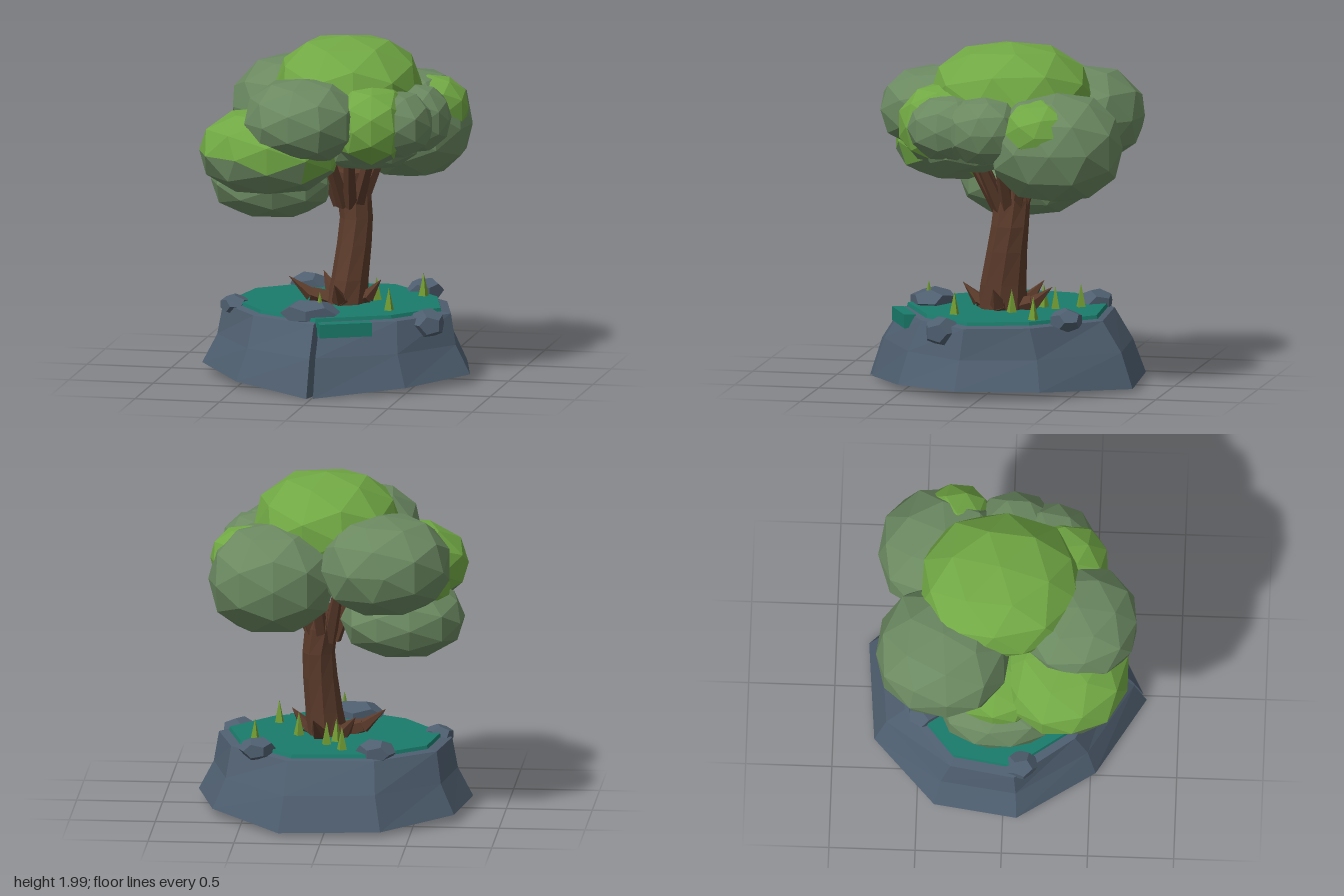
import * as THREE from 'three';

const paint = (name, color) => {
  const m = new THREE.MeshStandardMaterial({ color, flatShading: true });
  m.name = name;
  return m;
};

// Flat-shaded skin over rings of [x, y, z] points, closed at both ends
function loft(rings) {
  const pos = [];
  const tri = (a, b, c) => pos.push(...a, ...b, ...c);
  const n = rings[0].length;
  const centre = (ring) => [0, 1, 2].map((k) => ring.reduce((s, p) => s + p[k], 0) / n);
  for (let r = 0; r < rings.length - 1; r++) {
    for (let i = 0; i < n; i++) {
      const j = (i + 1) % n;
      tri(rings[r][i], rings[r][j], rings[r + 1][j]);
      tri(rings[r][i], rings[r + 1][j], rings[r + 1][i]);
    }
  }
  const low = rings[0], high = rings[rings.length - 1];
  const lowC = centre(low), highC = centre(high);
  for (let i = 0; i < n; i++) {
    const j = (i + 1) % n;
    tri(lowC, low[j], low[i]);
    tri(highC, high[i], high[j]);
  }
  const g = new THREE.BufferGeometry();
  g.setAttribute('position', new THREE.Float32BufferAttribute(pos, 3));
  g.computeVertexNormals();
  return g;
}

// Unit faceted ball, slightly squared off so that it looks plump
function plumpBall(turn) {
  const g = new THREE.IcosahedronGeometry(1, 1).rotateY(turn);
  const p = g.attributes.position, power = 2.35;
  for (let i = 0; i < p.count; i++) {
    const v = [p.getX(i), p.getY(i), p.getZ(i)];
    const len = v.reduce((s, c) => s + Math.abs(c) ** power, 0) ** (1 / power);
    p.setXYZ(i, v[0] / len, v[1] / len, v[2] / len);
  }
  return g;
}

export function createModel() {
  const stone = paint('slate stone', 0x4f5f70);
  const turf = paint('teal turf', 0x1a7b6b);
  const bark = paint('brown bark', 0x5b3b2b);
  const leaf = paint('bright leaf', 0x71a844);
  const sage = paint('sage leaf', 0x6b8961);
  const blade = paint('grass blade', 0x729c34);

  const model = new THREE.Group();
  model.name = 'treeOnRock';
  const add = (name, geometry, material, parent = model) => {
    const mesh = new THREE.Mesh(geometry, material);
    mesh.name = name;
    parent.add(mesh);
    return mesh;
  };
  const group = (name) => {
    const g = new THREE.Group();
    g.name = name;
    model.add(g);
    return g;
  };

  // Tapered limb between two points
  const limb = (name, from, to, r0, r1, parent) => {
    const a = new THREE.Vector3(...from), b = new THREE.Vector3(...to);
    const d = b.clone().sub(a);
    const m = add(name, new THREE.CylinderGeometry(r1, r0, d.length(), 5), bark, parent);
    m.position.copy(a).addScaledVector(d, 0.5);
    m.quaternion.setFromUnitVectors(new THREE.Vector3(0, 1, 0), d.normalize());
  };

  // Rock base, outline starts at the crack in the front
  const outline = [[0.01, 0.79], [0.5, 0.53], [0.8, 0.13], [0.68, -0.35], [0.26, -0.81], [-0.33, -0.76],
    [-0.73, -0.4], [-0.8, 0.08], [-0.5, 0.53], [-0.025, 0.81], [-0.005, 0.7]];
  const ring = (sx, sz, y, points = outline, lift = 0) =>
    points.map(([x, z]) => [x * sx, y + lift * Math.abs(x), z * sz]);
  add('rockBase', loft([
    ring(1, 1, 0.005, outline, 0.07),
    ring(0.89, 0.91, 0.23),
    ring(0.85, 0.77, 0.41),
    ring(0.78, 0.72, 0.42),
  ]), stone);

  // Turf on top, with a flap hanging over the front edge
  const lawn = outline.slice(0, -1);
  add('turf', loft([ring(0.79, 0.74, 0.39, lawn), ring(0.77, 0.72, 0.44, lawn)]), turf);
  const flap = add('turfFlap', new THREE.BoxGeometry(0.31, 0.08, 0.07), turf);
  flap.position.set(0.15, 0.38, 0.57);
  flap.rotation.y = 0.44;

  // Loose rocks: position, then radii
  const rocks = group('looseRocks');
  [
    [-0.08, 0.45, 0.45, 0.18, 0.075, 0.14], [0.57, 0.375, 0.25, 0.1, 0.09, 0.12],
    [-0.6, 0.415, 0.1, 0.1, 0.06, 0.09], [-0.28, 0.44, -0.47, 0.12, 0.075, 0.11],
    [0.41, 0.44, -0.45, 0.11, 0.07, 0.1],
  ].forEach(([x, y, z, a, b, c], i) => {
    const rock = add('rock', new THREE.DodecahedronGeometry(1, 0), stone, rocks);
    rock.position.set(x, y, z);
    rock.scale.set(a, b, c);
    rock.rotation.y = i * 0.9;
  });

  // Leaning trunk: x, y, z, half width in x, half width in z
  const trunk = [
    [0.04, 0.41, 0.01, 0.125, 0.15], [0.06, 0.58, 0, 0.108, 0.135], [0.08, 0.78, -0.025, 0.1, 0.118],
    [0.088, 0.93, -0.045, 0.095, 0.11], [0.07, 1.08, -0.055, 0.1, 0.105], [0.06, 1.2, -0.05, 0.09, 0.09],
  ];
  add('trunk', loft(trunk.map(([x, y, z, a, b], k) => Array.from({ length: 8 }, (_, i) => {
    const t = (i / 8) * Math.PI * 2 + k * 0.08;
    return [x + Math.sin(t) * a, y, z + Math.cos(t) * b];
  }))), bark);

  // Branches fanning into the crown
  const branches = group('branches');
  for (let i = 0; i < 9; i++) {
    const t = (i / 9) * Math.PI * 2 + 0.2;
    const s = Math.sin(t), c = Math.cos(t);
    limb('branch', [0.055 + s * 0.06, 1.01, -0.04 + c * 0.06], [0.06 + s * 0.2, 1.36, -0.01 + c * 0.22],
      0.045, 0.03, branches);
  }

  // Pointed roots curling up around the foot
  const roots = group('roots');
  [[-0.3, 0.02], [0.25, 0.02], [0.02, 0.25], [0.1, -0.3], [-0.14, -0.2]].forEach(([x, z]) => {
    const midX = 0.04 + (x - 0.04) * 0.6, midZ = z * 0.6;
    limb('rootFoot', [0.04, 0.42, 0], [midX, 0.48, midZ], 0.07, 0.045, roots);
    limb('rootTip', [midX, 0.475, midZ], [x, 0.58, z], 0.045, 0, roots);
  });

  // Grass blades
  const grass = group('grass');
  [[-0.02, 0.46], [0.34, 0.23], [0.2, -0.08], [0.44, -0.26], [-0.08, -0.43], [-0.03, -0.22], [0.02, -0.3]]
    .forEach(([x, z], i) => {
      const b = add('grassBlade', new THREE.ConeGeometry(0.035, 0.15, 4), blade, grass);
      b.position.set(x, 0.5, z);
      b.rotation.y = i * 0.7;
    });

  // Leaf clumps: centre, radii, colour
  const crown = group('crown');
  const clump = (name, [x, y, z], [a, b, c], material, turn, geometry = plumpBall(turn)) => {
    geometry.scale(a, b, c);
    geometry.computeVertexNormals();
    add(name, geometry, material, crown).position.set(x, y, z);
  };
  clump('topClump', [0.04, 1.68, -0.04], [0.43, 0.32, 0.47], leaf, 0.3);
  clump('frontClump', [-0.13, 1.575, 0.42], [0.34, 0.245, 0.345], sage, 0.5);
  clump('backRightClump', [-0.32, 1.53, -0.36], [0.39, 0.29, 0.39], sage, 1.1);
  clump('backLeftClump', [0.33, 1.44, -0.37], [0.37, 0.32, 0.39], sage, 0.1);
  clump('leftClump', [0.34, 1.54, 0.24], [0.26, 0.2, 0.26], sage, 1.4);
  clump('leftMiddleClump', [0.44, 1.54, 0.03], [0.22, 0.2, 0.23], sage, 0.4);
  clump('leftPatchClump', [0.46, 1.545, -0.31], [0.235, 0.19, 0.21], leaf, 0.6);
  clump('lowerMiddleClump', [0.2, 1.42, 0.16], [0.31, 0.16, 0.29], sage, 0.7);
  clump('lowClump', [-0.4, 1.14, -0.03], [0.36, 0.22, 0.38], sage, 0.2);

  // Two-tone clumps: faces below a tilted plane (height, z slope, x slope) are sage
  const twoTone = (name, centre, radii, turn, [height, slopeZ, slopeX]) => {
    const g = plumpBall(turn);
    const p = g.attributes.position;
    const mid = (get, i) => (p[get](i) + p[get](i + 1) + p[get](i + 2)) / 3;
    g.clearGroups();
    for (let i = 0; i < p.count; i += 3) {
      const limit = height + slopeZ * mid('getZ', i) + slopeX * mid('getX', i);
      g.addGroup(i, 3, mid('getY', i) < limit ? 1 : 0);
    }
    clump(name, centre, radii, [leaf, sage], turn, g);
  };
  twoTone('frontRightClump', [-0.34, 1.375, 0.345], [0.41, 0.25, 0.38], 0.7, [-0.35, 0.35, -0.25]);
  twoTone('innerFrontClump', [0.25, 1.54, 0.28], [0.235, 0.24, 0.3], 0.8, [-0.6, 0, 0]);
  twoTone('innerRightClump', [-0.37, 1.32, -0.03], [0.31, 0.2, 0.28], 0.9, [-0.4, 0, 0.3]);

  return model;
}
